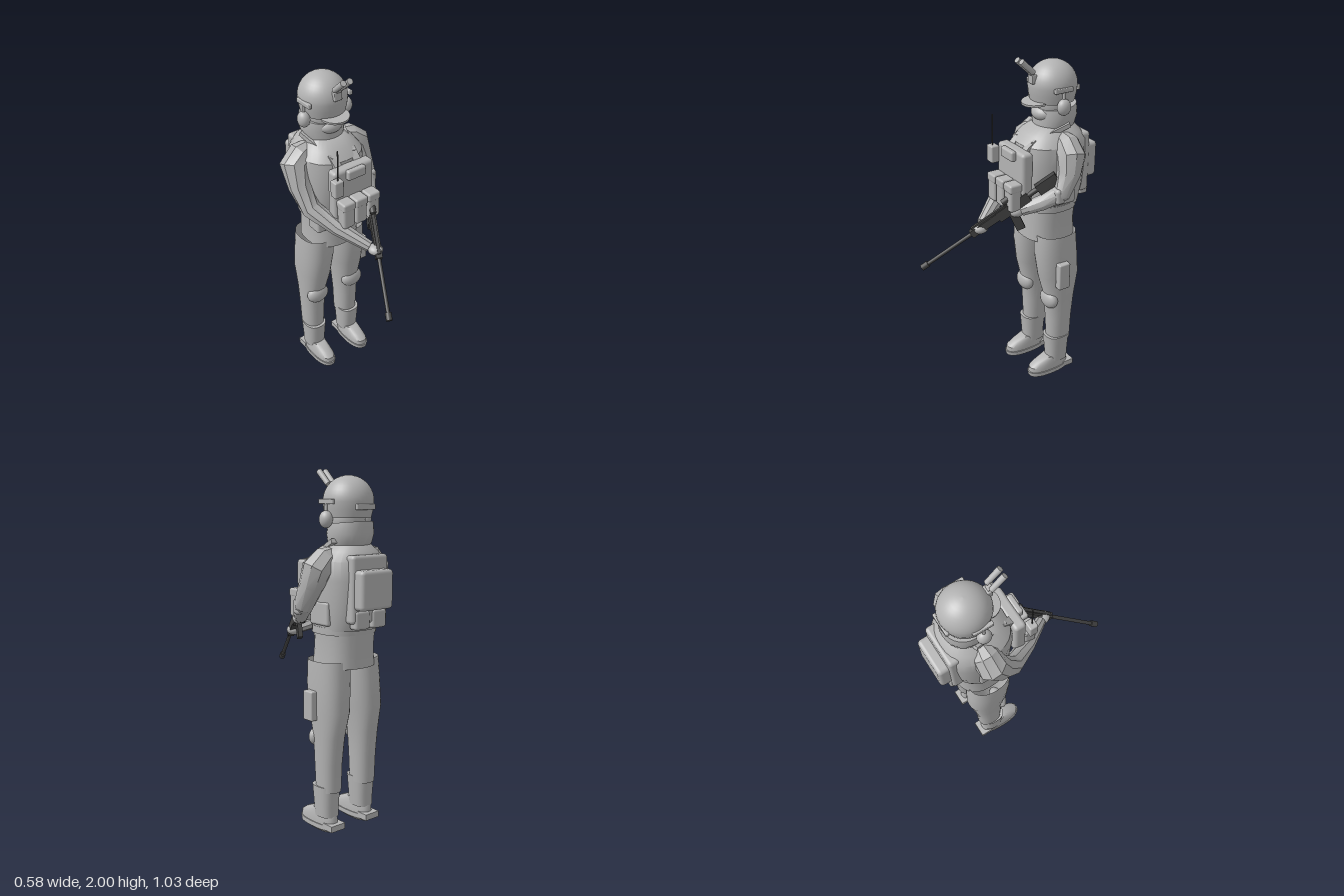
import * as THREE from 'three';
import { toCreasedNormals } from 'three/addons/utils/BufferGeometryUtils.js';
import { RoundedBoxGeometry } from 'three/addons/geometries/RoundedBoxGeometry.js';

const V = (x, y, z) => new THREE.Vector3(x, y, z);

// Skin a list of rings (arrays of points) with quads
function skin(rings, crease = 0.6) {
  const n = rings[0].length, pos = [], idx = [];
  rings.forEach(r => r.forEach(p => pos.push(p.x, p.y, p.z)));
  for (let j = 0; j < rings.length - 1; j++)
    for (let i = 0; i < n; i++) {
      const a = j * n + i, b = j * n + (i + 1) % n;
      idx.push(a, a + n, b, b, a + n, b + n);
    }
  const g = new THREE.BufferGeometry();
  g.setAttribute('position', new THREE.Float32BufferAttribute(pos, 3));
  g.setIndex(idx);
  return toCreasedNormals(g, crease);
}

// Upright loft; each ring is [y, cx, cz, rx, rz, tilt]
function loft(rows, { caps = true, sides = 28, power = 2.3 } = {}) {
  const e = 2 / power;
  const bend = v => Math.sign(v) * Math.abs(v) ** e;
  const ring = ([y, cx, cz, rx, rz, tilt = 0], k = 1) => Array.from({ length: sides }, (_, i) => {
    const t = i / sides * Math.PI * 2, c = bend(Math.cos(t)), s = bend(Math.sin(t));
    return V(cx + c * rx * k, y + s * tilt * k, cz + s * rz * k);
  });
  const rings = rows.map(r => ring(r));
  if (caps) {
    rings.unshift(ring(rows[0], 0));
    rings.push(ring(rows[rows.length - 1], 0));
  }
  return skin(rings);
}

// Tapered limb through points [x, y, z, radius]
function limb(pts, sides = 9) {
  const c = pts.map(p => V(p[0], p[1], p[2]));
  const ring = (j, k = 1) => {
    const d = c[Math.min(j + 1, c.length - 1)].clone().sub(c[Math.max(j - 1, 0)]).normalize();
    const u = V(0, 0, 1).addScaledVector(d, -d.z).normalize();
    const v = u.clone().cross(d);
    return Array.from({ length: sides }, (_, i) => {
      const t = i / sides * Math.PI * 2, r = pts[j][3] * k;
      return c[j].clone().addScaledVector(u, Math.cos(t) * r).addScaledVector(v, Math.sin(t) * r);
    });
  };
  const rings = c.map((_, j) => ring(j));
  return skin([ring(0, 0), ...rings, ring(c.length - 1, 0)], 0.5);
}

export function createModel() {
  const model = new THREE.Group();
  model.name = 'soldier';
  const grey = new THREE.MeshStandardMaterial({ color: 0xb4b4b4, side: THREE.DoubleSide });
  grey.name = 'light grey';
  const dark = new THREE.MeshStandardMaterial({ color: 0x444444 });
  dark.name = 'dark gunmetal';

  const add = (name, geo, p = [0, 0, 0], mat = grey, parent = model) => {
    const m = new THREE.Mesh(geo, mat);
    m.name = name;
    m.position.set(...p);
    parent.add(m);
    return m;
  };
  const box = (name, size, p, mat = grey, parent = model) =>
    add(name, new THREE.BoxGeometry(...size), p, mat, parent);
  const soft = (name, size, p, r = 0.015) => add(name, new RoundedBoxGeometry(...size, 3, r), p);
  const ball = (name, radii, p) => {
    const m = add(name, new THREE.SphereGeometry(1, 24, 16), p);
    m.scale.set(...radii);
    return m;
  };
  // Box or cylinder stretched between two points
  const between = (name, a, b, w, h, round = false, mat = grey) => {
    const A = V(...a), B = V(...b), len = A.distanceTo(B);
    const g = round ? new THREE.CylinderGeometry(w, h, len, 16).rotateX(Math.PI / 2) : new THREE.BoxGeometry(w, h, len);
    const m = add(name, g, A.clone().add(B).multiplyScalar(0.5).toArray(), mat);
    m.lookAt(B);
    return m;
  };

  // Legs, knee pads, gaiters and boots
  for (const [side, s] of [['left', 1], ['right', -1]]) {
    add(side + 'TrouserLeg', loft([
      [0.24, s * 0.127, -0.272, 0.062, 0.074], [0.40, s * 0.127, -0.27, 0.068, 0.08],
      [0.55, s * 0.125, -0.272, 0.073, 0.094], [0.70, s * 0.118, -0.265, 0.092, 0.126],
      [0.85, s * 0.111, -0.25, 0.1, 0.131], [0.98, s * 0.105, -0.245, 0.1, 0.125]], { caps: false }));
    ball(side + 'KneePad', [0.072, 0.06, 0.042], [s * 0.13, 0.54, -0.198]);
    add(side + 'Gaiter', loft([
      [0.09, s * 0.13, -0.26, 0.056, 0.066], [0.15, s * 0.13, -0.258, 0.06, 0.068],
      [0.27, s * 0.13, -0.256, 0.067, 0.077]], { power: 2.6 }));
    add(side + 'Sole', loft([
      [0, s * 0.13, -0.215, 0.04, 0.1], [0.018, s * 0.13, -0.2, 0.06, 0.138],
      [0.045, s * 0.13, -0.195, 0.06, 0.137]], { power: 2.4 }));
    add(side + 'Boot', loft([
      [0.04, s * 0.13, -0.2, 0.054, 0.135], [0.075, s * 0.13, -0.2, 0.054, 0.132],
      [0.1, s * 0.13, -0.215, 0.048, 0.11], [0.125, s * 0.13, -0.24, 0.045, 0.075]], { power: 2.5 }));
    box(side + 'Heel', [0.1, 0.035, 0.07], [s * 0.13, 0.04, -0.325]);
  }
  soft('thighPouch', [0.045, 0.165, 0.075], [0.222, 0.735, -0.228], 0.008);

  // Trunk
  add('shirtHem', loft([
    [0.94, 0, -0.248, 0.158, 0.158], [1.05, 0, -0.25, 0.152, 0.152],
    [1.17, 0, -0.255, 0.16, 0.155]], { caps: false, power: 2.5 }));
  add('belt', loft([[1.125, 0, -0.25, 0.17, 0.156], [1.165, 0, -0.25, 0.172, 0.158]], { power: 2.5 }));
  add('torso', loft([
    [1.15, 0, -0.255, 0.168, 0.165], [1.25, 0, -0.255, 0.178, 0.19], [1.42, 0, -0.255, 0.188, 0.203],
    [1.52, 0, -0.26, 0.185, 0.195], [1.57, 0, -0.27, 0.15, 0.16], [1.61, 0, -0.28, 0.1, 0.11]], { power: 2.5 }));

  // Vest with plates, pouches and radio
  soft('frontPlate', [0.265, 0.34, 0.07], [0.003, 1.34, -0.035], 0.02);
  soft('backPlate', [0.25, 0.36, 0.07], [0, 1.375, -0.425], 0.02);
  soft('backpack', [0.225, 0.21, 0.085], [0.002, 1.375, -0.478], 0.022);
  for (const x of [-0.06, 0.06]) soft('rearPouch', [0.1, 0.1, 0.06], [x, 1.215, -0.44]);
  for (const x of [-0.082, 0.003, 0.09]) {
    soft('magazinePouch', [0.076, 0.16, 0.072], [x, 1.26, 0.036]);
    soft('pouchFlap', [0.08, 0.05, 0.078], [x, 1.318, 0.036], 0.012);
  }
  soft('chestPouch', [0.12, 0.06, 0.035], [0.005, 1.48, 0.01], 0.012);
  soft('radio', [0.058, 0.1, 0.05], [-0.132, 1.44, 0.026], 0.008);
  between('antenna', [-0.13, 1.48, 0.03], [-0.13, 1.67, 0.03], 0.004, 0.004, true, dark);
  soft('hipPouch', [0.07, 0.09, 0.1], [-0.135, 1.11, -0.16]);
  for (const s of [1, -1]) {
    between('shoulderStrap', [s * 0.12, 1.625, -0.31], [s * 0.058, 1.535, -0.1], 0.045, 0.025);
    between('chestStrap', [s * 0.068, 1.55, -0.12], [s * 0.062, 1.48, -0.04], 0.045, 0.025);
    soft('sidePouch', [0.04, 0.13, 0.15], [s * 0.165, 1.24, -0.25]);
  }

  // Arms and hands
  add('rightArm', limb([
    [-0.11, 1.545, -0.27, 0.05], [-0.155, 1.525, -0.27, 0.074], [-0.205, 1.475, -0.265, 0.085],
    [-0.213, 1.36, -0.21, 0.066], [-0.198, 1.245, -0.13, 0.057], [-0.12, 1.165, 0.01, 0.047],
    [-0.02, 1.085, 0.17, 0.032]]));
  ball('rightHand', [0.042, 0.03, 0.045], [0, 1.07, 0.195]);
  add('leftArm', limb([
    [0.11, 1.545, -0.27, 0.05], [0.155, 1.525, -0.27, 0.074], [0.208, 1.475, -0.265, 0.085],
    [0.228, 1.385, -0.24, 0.068], [0.235, 1.285, -0.19, 0.053], [0.18, 1.225, -0.1, 0.045],
    [0.11, 1.175, -0.01, 0.034]]));
  ball('leftHand', [0.038, 0.032, 0.045], [0.1, 1.17, 0.015]);
  soft('leftElbowPad', [0.07, 0.09, 0.06], [0.238, 1.275, -0.165], 0.02);

  // Neck cowl and face
  add('neckCowl', loft([
    [1.55, 0, -0.27, 0.09, 0.1, -0.02], [1.6, 0, -0.29, 0.112, 0.118, -0.01],
    [1.66, 0, -0.295, 0.128, 0.122], [1.715, 0, -0.295, 0.12, 0.118, -0.012]], { power: 2.1 }));
  ball('face', [0.1, 0.115, 0.095], [0, 1.73, -0.27]);
  ball('mask', [0.075, 0.045, 0.06], [0, 1.675, -0.215]);

  // Helmet with headset, rails and brow visor
  const dome = [[0.122, -0.085], [0.132, -0.04], [0.136, 0]];
  for (let i = 1; i <= 10; i++) {
    const t = i / 10 * Math.PI / 2;
    dome.push([Math.max(0.136 * Math.cos(t), 0), 0.135 * Math.sin(t)]);
  }
  const helmet = add('helmet', new THREE.LatheGeometry(dome.map(p => new THREE.Vector2(...p)), 36), [0, 1.828, -0.277]);
  helmet.scale.z = 1.02;
  for (const s of [1, -1]) {
    ball('earCup', [0.034, 0.046, 0.04], [s * 0.14, 1.735, -0.257]);
    soft('helmetRail', [0.022, 0.026, 0.115], [s * 0.133, 1.827, -0.257], 0.005);
    between('headsetArm', [s * 0.14, 1.75, -0.257], [s * 0.137, 1.82, -0.257], 0.008, 0.008, true);
  }
  soft('rearRail', [0.13, 0.03, 0.02], [0, 1.8, -0.41], 0.006);
  const visor = add('visor', new THREE.CylinderGeometry(0.085, 0.085, 0.012, 24, 1, false, -Math.PI / 2, Math.PI),
    [0, 1.747, -0.175]);
  visor.rotation.x = 0.1;

  // Raised night-vision tubes on their mount
  soft('goggleMount', [0.05, 0.05, 0.03], [0, 1.875, -0.145], 0.005);
  between('goggleArm', [0, 1.885, -0.15], [0, 1.925, -0.12], 0.03, 0.018);
  for (const s of [1, -1])
    between('goggleTube', [s * 0.021, 1.915, -0.137], [s * 0.021, 1.985, -0.06], 0.017, 0.015, true);

  // Rifle, with its muzzle at the group's origin and the bore along +z
  const rifle = new THREE.Group();
  rifle.name = 'rifle';
  model.add(rifle);
  const tube = (name, r, from, to, y = 0) =>
    add(name, new THREE.CylinderGeometry(r, r, to - from, 14).rotateX(Math.PI / 2), [0, y, -(from + to) / 2], dark, rifle);
  const block = (name, w, h, from, to, y = 0) =>
    box(name, [w, h, to - from], [0, y, -(from + to) / 2], dark, rifle);
  tube('muzzleBrake', 0.018, 0, 0.045);
  tube('barrel', 0.011, 0.04, 0.42);
  block('handguard', 0.036, 0.042, 0.35, 0.54);
  block('receiver', 0.036, 0.06, 0.53, 0.74, -0.005);
  block('topRail', 0.018, 0.012, 0.37, 0.72, 0.028);
  tube('sight', 0.018, 0.6, 0.68, 0.052);
  tube('bufferTube', 0.015, 0.73, 0.85);
  block('stock', 0.036, 0.075, 0.8, 0.93, -0.012);
  block('magazine', 0.026, 0.13, 0.58, 0.63, -0.08).rotation.x = -0.2;
  block('pistolGrip', 0.026, 0.085, 0.69, 0.725, -0.06).rotation.x = 0.35;
  rifle.lookAt(-0.345, -0.54, 0.68);
  rifle.position.set(-0.142, 0.838, 0.5);

  return model;
}
